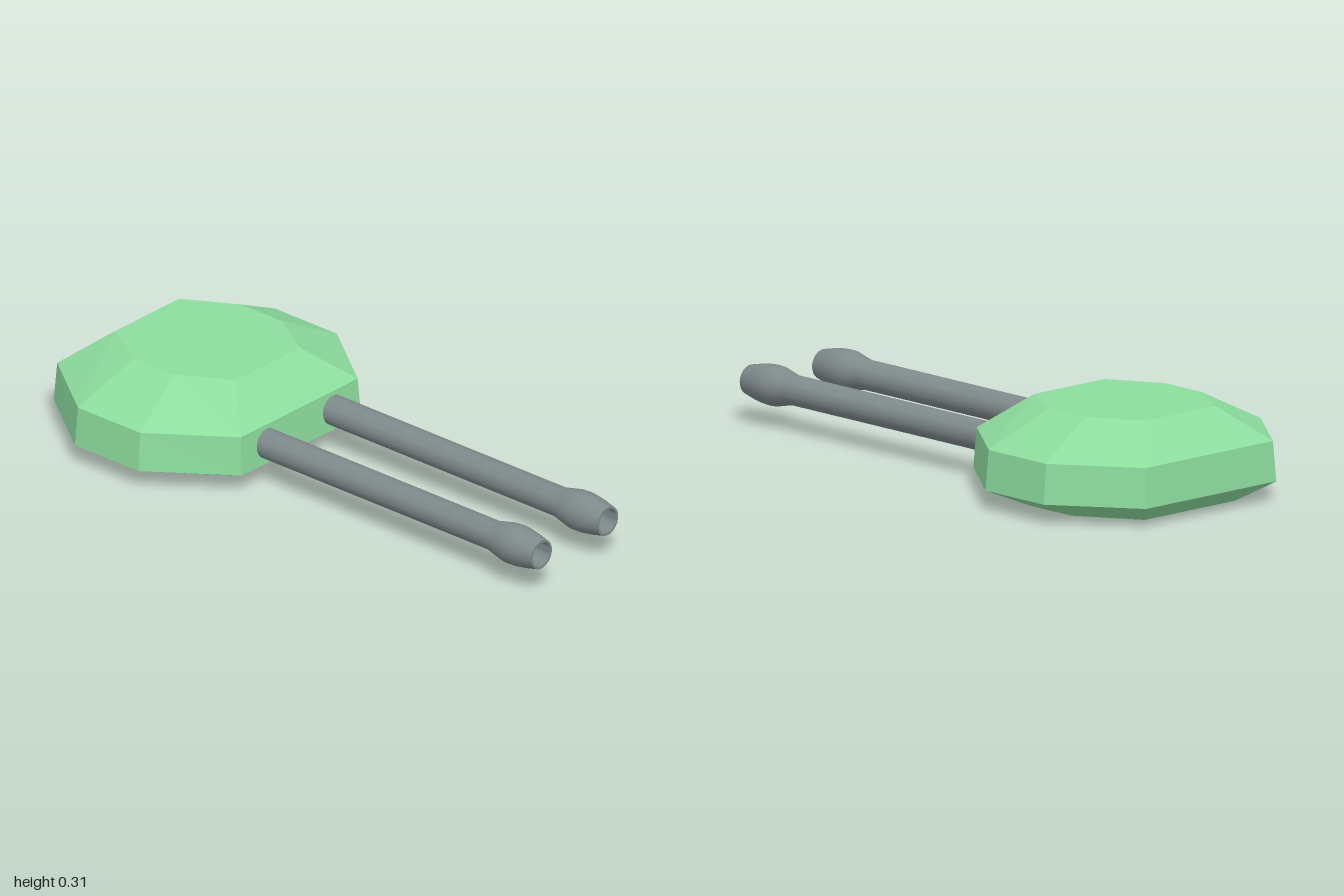
import * as THREE from 'three';
import { toCreasedNormals } from 'three/addons/utils/BufferGeometryUtils.js';

const CENTER_Z = -0.5925;

// One octagonal cross-section: half width/depth and half lengths of the front and side edges
function octagon({ y, w, d, front, side }) {
  return [
    [w, -side], [w, side], [front, d], [-front, d],
    [-w, side], [-w, -side], [-front, -d], [front, -d],
  ].map(([x, z]) => [x, y, z + CENTER_Z]);
}

// Faceted shell, open underneath
function hullGeometry() {
  const rings = [
    { y: 0, w: 0.332, d: 0.308, front: 0.2, side: 0.1 },
    { y: 0.067, w: 0.487, d: 0.4075, front: 0.288, side: 0.1375 },
    { y: 0.2, w: 0.475, d: 0.398, front: 0.282, side: 0.135 },
    { y: 0.313, w: 0.258, d: 0.262, front: 0.155, side: 0.086 },
  ].map(octagon);
  const pos = [];
  const tri = (...corners) => corners.forEach((c) => pos.push(...c));
  for (let r = 0; r < rings.length - 1; r++) {
    for (let i = 0; i < 8; i++) {
      const j = (i + 1) % 8;
      const a = rings[r][i], b = rings[r][j], c = rings[r + 1][j], d = rings[r + 1][i];
      tri(a, d, c);
      tri(a, c, b);
    }
  }
  // Flat roof
  const top = rings[rings.length - 1];
  for (let i = 1; i < 7; i++) tri(top[0], top[i + 1], top[i]);
  const geo = new THREE.BufferGeometry();
  geo.setAttribute('position', new THREE.Float32BufferAttribute(pos, 3));
  geo.computeVertexNormals();
  return geo;
}

// Hollow tube with a swollen muzzle, turned about its length and laid along z
function barrelGeometry() {
  const profile = [
    [0.042, -0.205], [0.05, -0.205], [0.05, 0.795], [0.058, 0.83], [0.066, 0.865],
    [0.0675, 0.89], [0.066, 0.915], [0.059, 0.96], [0.05, 1], [0.042, 1], [0.042, -0.205],
  ].map(([r, z]) => new THREE.Vector2(r, z));
  const geo = new THREE.LatheGeometry(profile, 28);
  geo.rotateX(Math.PI / 2);
  return toCreasedNormals(geo, 0.6);
}

export function createModel() {
  const model = new THREE.Group();
  model.name = 'turret';

  const green = new THREE.MeshStandardMaterial({ color: 0x8ddd9e, flatShading: true, side: THREE.DoubleSide });
  const steel = new THREE.MeshStandardMaterial({ color: 0x7f8a8c, side: THREE.DoubleSide });

  const hull = new THREE.Mesh(hullGeometry(), green);
  hull.name = 'turretHull';
  model.add(hull);

  // Twin barrels
  const barrel = barrelGeometry();
  for (const [name, side] of [['leftBarrel', 1], ['rightBarrel', -1]]) {
    const mesh = new THREE.Mesh(barrel, steel);
    mesh.name = name;
    mesh.position.set(side * 0.16, 0.135, 0);
    model.add(mesh);
  }
  return model;
}
